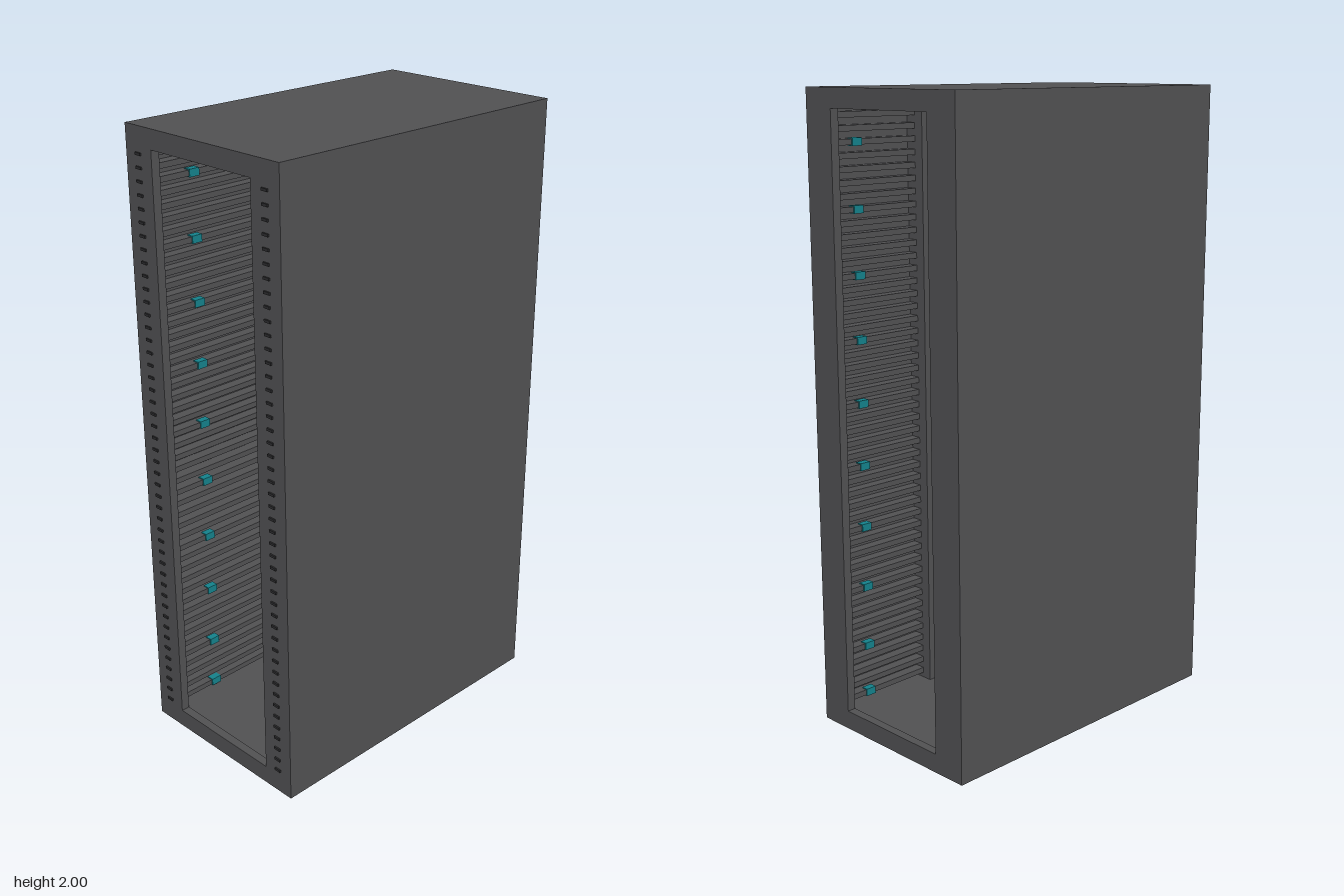
import * as THREE from 'three';

const W = 0.64, H = 2, BACK = -0.55, FRONT = 0.545;
const OPEN_X = 0.207, OPEN_Y0 = 0.06, OPEN_Y1 = 1.94;
const SLOTS = 47, PITCH = (OPEN_Y1 - OPEN_Y0) / SLOTS;
const WALL_X = 0.275; // inner face of the side walls

const metal = new THREE.MeshStandardMaterial({ color: 0x505052 });
const dark = new THREE.MeshStandardMaterial({ color: 0x2c2c2e });
const teal = new THREE.MeshStandardMaterial({ color: 0x14808a });

const slotY = (i) => OPEN_Y0 + PITCH * (i + 0.5);

// Box given by its limits on each axis
function box(parent, name, x0, x1, y0, y1, z0, z1, material = metal) {
  const mesh = new THREE.Mesh(new THREE.BoxGeometry(x1 - x0, y1 - y0, z1 - z0), material);
  mesh.position.set((x0 + x1) / 2, (y0 + y1) / 2, (z0 + z1) / 2);
  mesh.name = name;
  parent.add(mesh);
}

// Box on one side of the cabinet, x measured outwards from the centre
function sideBox(parent, name, side, xIn, xOut, ...rest) {
  const [x0, x1] = side > 0 ? [xIn, xOut] : [-xOut, -xIn];
  box(parent, name, x0, x1, ...rest);
}

// Flat rectangular frame with a tall opening
function frame(name, z, depth) {
  const shape = new THREE.Shape([
    new THREE.Vector2(-W / 2, 0), new THREE.Vector2(W / 2, 0),
    new THREE.Vector2(W / 2, H), new THREE.Vector2(-W / 2, H),
  ]);
  shape.holes.push(new THREE.Path([
    new THREE.Vector2(-OPEN_X, OPEN_Y0), new THREE.Vector2(-OPEN_X, OPEN_Y1),
    new THREE.Vector2(OPEN_X, OPEN_Y1), new THREE.Vector2(OPEN_X, OPEN_Y0),
  ]));
  const mesh = new THREE.Mesh(new THREE.ExtrudeGeometry(shape, { depth, bevelEnabled: false }), metal);
  mesh.position.z = z;
  mesh.name = name;
  return mesh;
}

export function createModel() {
  const model = new THREE.Group();
  model.name = 'rackCabinet';
  const t = 0.028; // frame thickness
  const z0 = BACK + t, z1 = FRONT - t;

  // Outer cabinet
  model.add(frame('frontFrame', z1, t), frame('backFrame', BACK, t));
  box(model, 'floor', -W / 2, W / 2, 0, 0.055, z0, z1);
  box(model, 'roof', -W / 2, W / 2, 1.945, H, z0, z1);

  for (const side of [1, -1]) {
    const group = new THREE.Group();
    group.name = side > 0 ? 'leftSide' : 'rightSide';
    model.add(group);

    sideBox(group, 'sideWall', side, WALL_X, W / 2, 0.055, 1.945, z0, z1);
    // Inner mounting post
    sideBox(group, 'rearPost', side, OPEN_X, WALL_X, 0.055, 1.945, -0.2, -0.175);

    for (let i = 0; i < SLOTS; i++) {
      const y = slotY(i);
      // Shelf rail running front to back
      sideBox(group, 'shelfRail', side, 0.24, WALL_X, y - 0.009, y + 0.009, z0, z1);
      // Small slot on the front frame
      sideBox(group, 'slotMark', side, 0.253, 0.276, y - 0.004, y + 0.004, FRONT - 0.002, 0.55, dark);
      // Coloured height marker on the first and every fifth slot
      if (i === 0 || (i + 1) % 5 === 0) {
        for (const z of [0.37, -0.43]) {
          sideBox(group, 'heightMarker', side, 0.236, 0.26, y - 0.012, y + 0.012, z - 0.018, z + 0.018, teal);
        }
      }
    }
  }
  return model;
}
